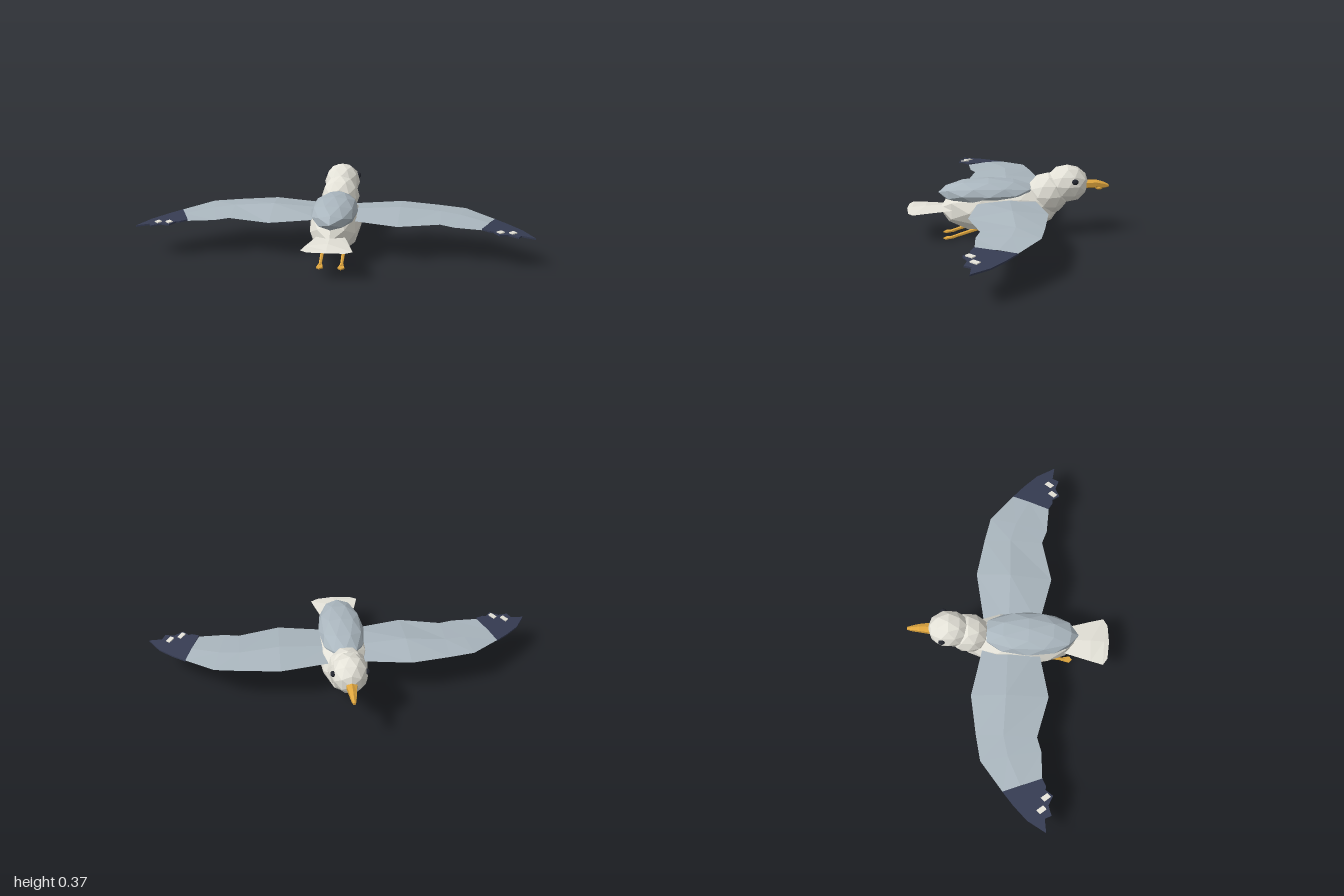
import * as THREE from 'three';

const paint = (name, color) => {
  const m = new THREE.MeshStandardMaterial({ color, flatShading: true });
  m.name = name;
  return m;
};

// Skin between rows of [x, y, z] points
function skin(rows) {
  const pos = [];
  for (let i = 0; i < rows.length - 1; i++) {
    for (let j = 0; j < rows[i].length - 1; j++) {
      const a = rows[i][j], b = rows[i][j + 1], c = rows[i + 1][j], d = rows[i + 1][j + 1];
      pos.push(...a, ...b, ...c, ...b, ...d, ...c);
    }
  }
  const g = new THREE.BufferGeometry();
  g.setAttribute('position', new THREE.Float32BufferAttribute(pos, 3));
  g.computeVertexNormals();
  return g;
}

// Mirror across x, keeping faces outward
function mirrored(geo) {
  const g = geo.index ? geo.toNonIndexed() : geo.clone();
  const p = g.attributes.position, v = [0, 1, 2].map(() => new THREE.Vector3());
  for (let i = 0; i < p.count; i += 3) {
    v.forEach((q, k) => q.fromBufferAttribute(p, i + k));
    [0, 2, 1].forEach((k, n) => p.setXYZ(i + n, -v[k].x, v[k].y, v[k].z));
  }
  g.computeVertexNormals();
  return g;
}

// Flat outline in (x, z), thickened upward and set on the height rule y(x, z)
function plate(outline, thick, y) {
  const shape = new THREE.Shape(outline.map(([x, z]) => new THREE.Vector2(x, -z)));
  const g = new THREE.ExtrudeGeometry(shape, { depth: thick, bevelEnabled: false });
  g.rotateX(-Math.PI / 2);
  const p = g.attributes.position;
  for (let i = 0; i < p.count; i++) p.setY(i, p.getY(i) + y(p.getX(i), p.getZ(i)));
  g.computeVertexNormals();
  return g;
}

const blob = (c, r, detail = 1) =>
  new THREE.IcosahedronGeometry(1, detail).scale(...r).translate(...c);

export function createModel() {
  const white = paint('white plumage', 0xe4e2d8);
  const grey = paint('grey plumage', 0xaab6be);
  const dark = paint('dark feathers', 0x363c52);
  const orange = paint('beak and leg orange', 0xdea53e);
  const black = paint('eye black', 0x23262f);

  const bird = new THREE.Group();
  bird.name = 'bird';
  const add = (name, geo, mat, parent = bird) => {
    const m = new THREE.Mesh(geo, mat);
    m.name = name;
    parent.add(m);
  };
  const addPair = (name, geo, mat) => {
    add('left' + name, geo, mat);
    add('right' + name, mirrored(geo), mat);
  };

  // Body, mantle, neck and head
  add('body', blob([0, 0.15, 0.04], [0.132, 0.135, 0.31]), white);
  add('mantle', blob([0, 0.235, 0.1], [0.118, 0.07, 0.255]), grey);
  add('neck', blob([0, 0.222, -0.205], [0.1, 0.109, 0.108]), white);
  add('head', blob([0, 0.273, -0.303], [0.094, 0.098, 0.11]), white);
  addPair('Eye', blob([0.084, 0.3, -0.336], [0.013, 0.015, 0.017]), black);

  // Beak: six-sided rings of z, top, bottom, half width
  const beakRows = [
    [-0.38, 0.292, 0.244, 0.034], [-0.455, 0.289, 0.246, 0.022], [-0.49, 0.279, 0.243, 0.015],
    [-0.518, 0.265, 0.25, 0.008], [-0.518, 0.2575, 0.2575, 0],
  ].map(([z, top, bottom, w]) => Array.from({ length: 7 }, (_, k) => {
    const t = k * Math.PI / 3;
    return [w * Math.sin(t), (top + bottom) / 2 + (top - bottom) / 2 * Math.cos(t), z];
  }));
  add('beak', skin(beakRows), orange);
  add('beakBulge', blob([0, 0.246, -0.469], [0.014, 0.009, 0.02]), orange);

  // Tail fan: z, mid z, half width, edge y, mid y
  const tail = [
    [0.25, 0.25, 0.06, 0.155, 0.165], [0.42, 0.42, 0.108, 0.152, 0.165],
    [0.485, 0.49, 0.125, 0.15, 0.156], [0.508, 0.516, 0.09, 0.149, 0.151],
  ];
  add('tailTop', skin(tail.map(([z, zm, w, y, ym]) => [[w, y, z], [0, ym, zm], [-w, y, z]]).reverse()
    .map((r) => r.reverse())), white);
  add('tailUnderside', skin(tail.map(([z, zm, w, y]) => [[w, y, z], [0, y - 0.006, zm], [-w, y, z]]).reverse()), white);

  // Wing: leading and trailing points as x, y, z
  const lead = [[0.06, 0.203, -0.13], [0.33, 0.21, -0.18], [0.53, 0.204, -0.147], [0.66, 0.199, -0.12], [0.805, 0.181, -0.005]];
  const trail = [[0.06, 0.2, 0.15], [0.32, 0.192, 0.21], [0.53, 0.194, 0.157], [0.6, 0.188, 0.18], [0.735, 0.182, 0.188]];
  const rise = [0.012, 0.028, 0.014, 0.01, 0.006];
  const chord = (i, lift) => {
    const ridge = lead[i].map((v, k) => v + (trail[i][k] - v) * 0.45 + (k === 1 ? lift : 0));
    return [lead[i], ridge, trail[i]];
  };
  addPair('WingTop', skin(rise.map((r, i) => chord(i, r))), grey);
  addPair('WingUnderside', skin(rise.map((r, i) => chord(i, -0.005).reverse())), white);

  // Dark wing tip with notched feathers and pale spots
  const tipY = (x) => 0.178 - 0.125 * (x - 0.77);
  const tip = [
    [0.735, 0.188], [0.772, 0.208], [0.79, 0.205], [0.817, 0.243], [0.862, 0.222], [0.875, 0.225],
    [0.912, 0.238], [0.928, 0.205], [0.995, 0.214], [0.94, 0.12], [0.87, 0.05], [0.805, -0.005],
  ];
  addPair('WingTip', plate(tip, 0.008, tipY), dark);
  for (const [x, z, n] of [[0.885, 0.187, 'Outer'], [0.825, 0.206, 'Inner']]) {
    const spot = [[x - 0.02, z + 0.008], [x - 0.002, z + 0.026], [x + 0.022, z - 0.005], [x + 0.004, z - 0.024]];
    addPair(n + 'TipSpot', plate(spot, 0.006, (px) => tipY(px) + 0.007), white);
  }

  // Legs trailing backward, with small webbed feet
  const leg = new THREE.CylinderGeometry(0.01, 0.008, 0.145, 6);
  leg.rotateX(-Math.PI / 2 + 0.32).translate(0.053, 0.031, 0.222);
  addPair('Leg', leg, orange);
  const foot = [[0.046, 0.272], [0.036, 0.318], [0.044, 0.324], [0.053, 0.333], [0.062, 0.324], [0.07, 0.318], [0.06, 0.272]];
  addPair('Foot', plate(foot, 0.007, (x, z) => (0.333 - z) * 0.1), orange);

  return bird;
}
